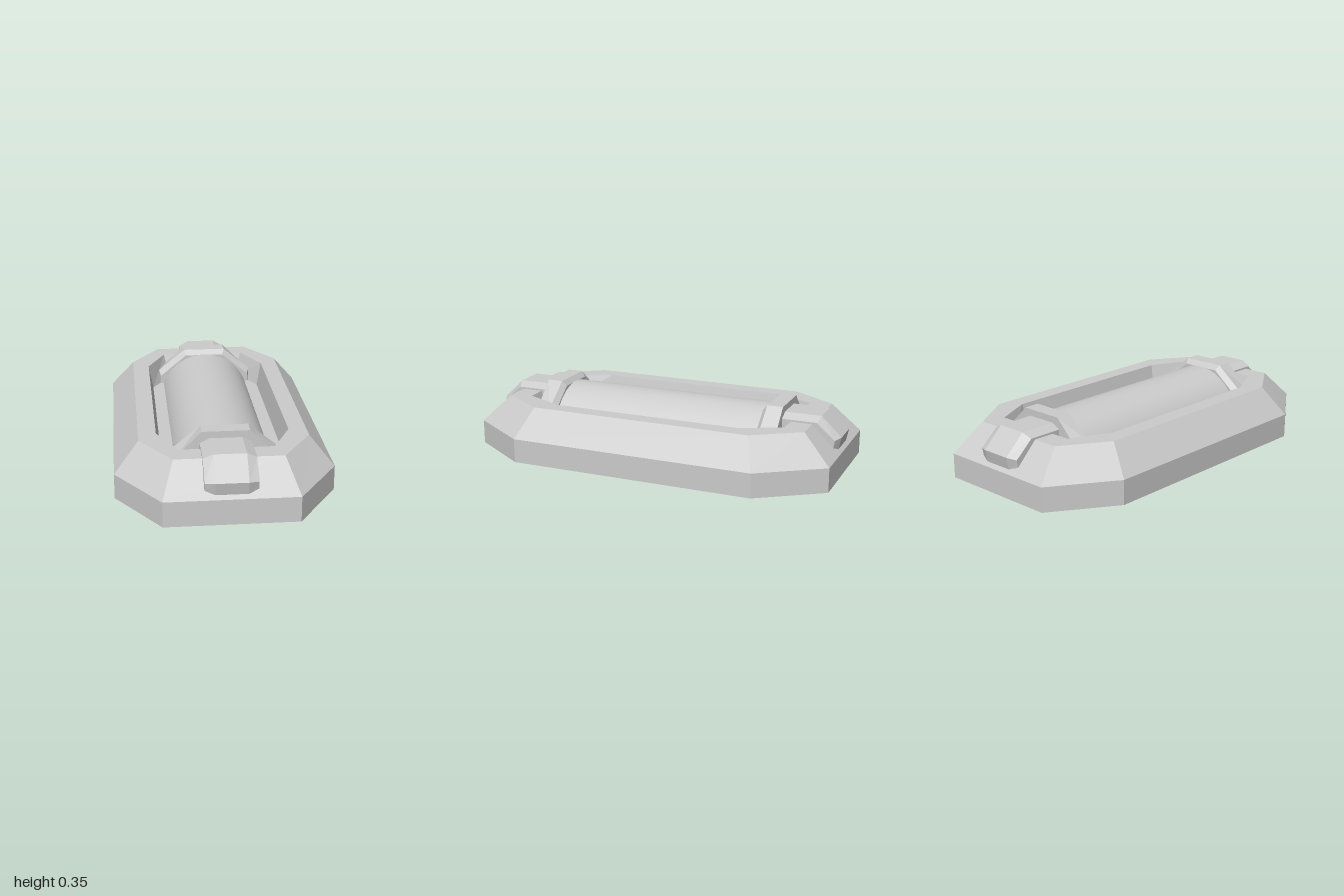
import * as THREE from 'three';

const material = new THREE.MeshStandardMaterial({ color: 0xcccccc, flatShading: true, side: THREE.DoubleSide });
const smoothMaterial = new THREE.MeshStandardMaterial({ color: 0xcccccc, side: THREE.DoubleSide });

// Joins closed rings of [x, y, z] points with flat faces; the first and last ring can be filled.
function loft(name, rings, fillStart, fillEnd) {
  const pos = [];
  const tri = (a, b, c) => pos.push(...a, ...b, ...c);
  const n = rings[0].length;
  for (let i = 0; i < rings.length - 1; i++) {
    for (let j = 0; j < n; j++) {
      const k = (j + 1) % n;
      tri(rings[i][j], rings[i][k], rings[i + 1][k]);
      tri(rings[i][j], rings[i + 1][k], rings[i + 1][j]);
    }
  }
  const first = rings[0], last = rings[rings.length - 1];
  for (let j = 1; j < n - 1; j++) {
    if (fillStart) tri(first[0], first[j + 1], first[j]);
    if (fillEnd) tri(last[0], last[j], last[j + 1]);
  }
  const geometry = new THREE.BufferGeometry();
  geometry.setAttribute('position', new THREE.Float32BufferAttribute(pos, 3));
  geometry.computeVertexNormals();
  const mesh = new THREE.Mesh(geometry, material);
  mesh.name = name;
  return mesh;
}

// Long octagon at height y: end edge half width a at z = b, side edge x = c with half length d.
const octagon = (y, a, b, c, d) =>
  [[-a, b], [a, b], [c, d], [c, -d], [a, -b], [-a, -b], [-c, -d], [-c, d]].map(([x, z]) => [x, y, z]);

// Upright section at depth z, mirrored from its +x half (listed from bottom to top).
const mirrored = (half) => [...half, ...half.slice().reverse().map(([x, y, z]) => [-x, y, z])];

// Collar around one end of the barrel
function createCollar() {
  const section = (z, w, top, flat) =>
    mirrored([[w, 0.15, z], [w, top - 0.125, z], [flat, top, z]]);
  return loft('collar', [
    section(0.58, 0.262, 0.322, 0.11),
    section(0.605, 0.272, 0.35, 0.12),
    section(0.69, 0.245, 0.35, 0.12),
  ], true, true);
}

// Chamfered strap that leaves the collar and folds down over the sloping end
function createStrap() {
  // ridge z, y; edge z, y; base z, y
  const stations = [
    [0.66, 0.315, 0.66, 0.29, 0.66, 0.2],
    [0.887, 0.315, 0.875, 0.29, 0.82, 0.2],
    [0.995, 0.212, 0.972, 0.205, 0.87, 0.18],
    [0.98, 0.14, 0.965, 0.165, 0.88, 0.16],
  ];
  return loft('strap', stations.map(([rz, ry, ez, ey, bz, by]) =>
    mirrored([[0.13, by, bz], [0.13, ey, ez], [0.08, ry, rz]])), true, true);
}

export function createModel() {
  const model = new THREE.Group();

  // Hollow frame: outer wall, slope, flat rim, inner wall and recessed floor, open underneath
  model.add(loft('frame', [
    octagon(0, 0.33, 1, 0.553, 0.667),
    octagon(0.13, 0.33, 1, 0.553, 0.667),
    octagon(0.28, 0.27, 0.85, 0.428, 0.607),
    octagon(0.28, 0.236, 0.735, 0.337, 0.522),
    octagon(0.15, 0.208, 0.695, 0.312, 0.508),
  ], false, true));

  // Rounded barrel lying in the recess
  const radius = 0.26, centreY = 0.065;
  const half = Math.acos((0.15 - centreY) / radius);
  const barrelGeometry = new THREE.CylinderGeometry(radius, radius, 1.18, 32, 1, true, -half, 2 * half);
  barrelGeometry.rotateX(-Math.PI / 2);
  const barrel = new THREE.Mesh(barrelGeometry, smoothMaterial);
  barrel.name = 'barrel';
  barrel.position.y = centreY;
  model.add(barrel);

  // Same fittings at the front and back
  for (const [name, turn] of [['frontFitting', 0], ['backFitting', Math.PI]]) {
    const fitting = new THREE.Group();
    fitting.name = name;
    fitting.add(createCollar(), createStrap());
    fitting.rotation.y = turn;
    model.add(fitting);
  }
  return model;
}
